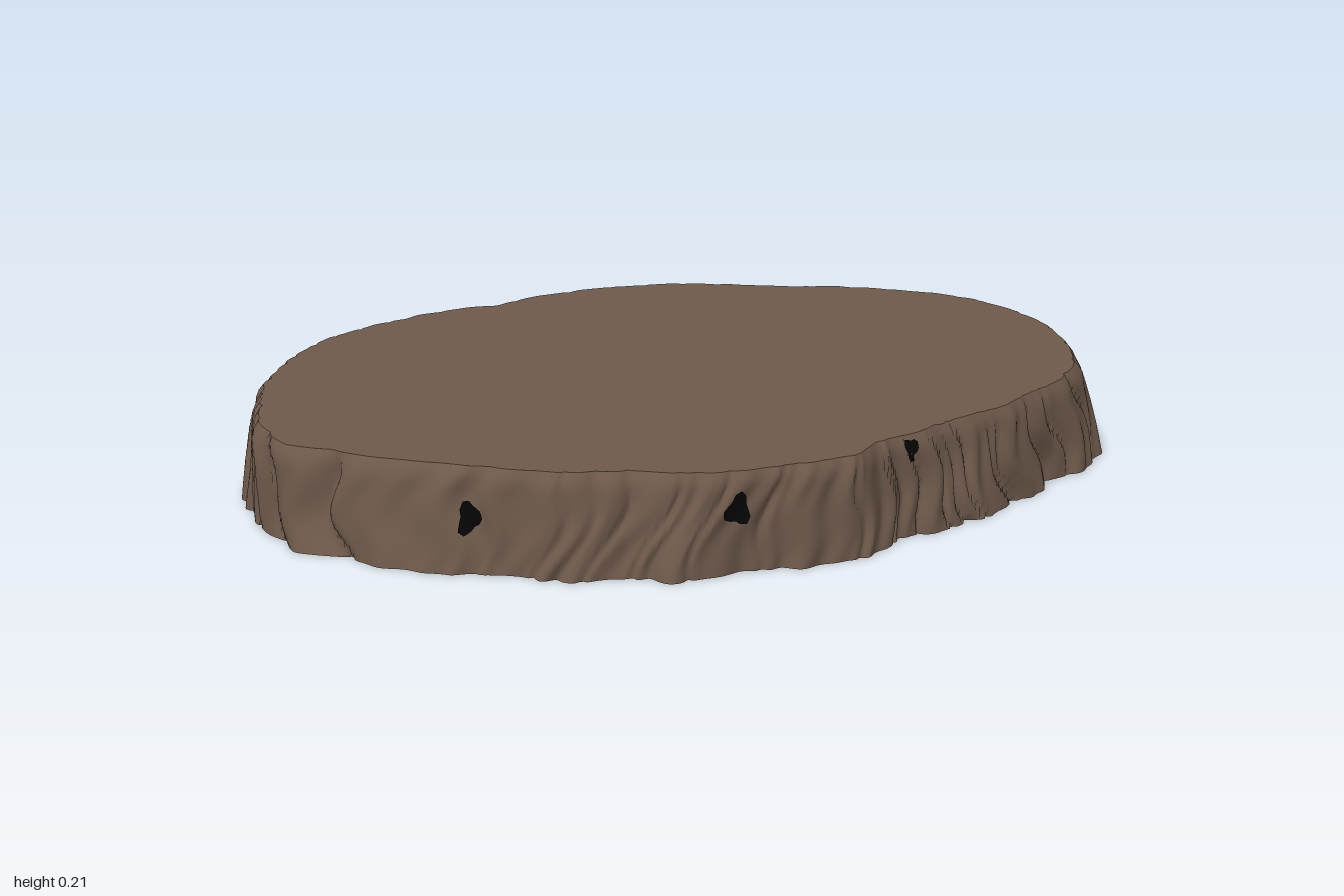
import * as THREE from 'three';

// outlines as x, z pairs, running from +x round by +z
const BASE = [
  0.99, -0.01, 0.97, 0.14, 0.94, 0.31, 0.87, 0.4, 0.8, 0.51, 0.71, 0.6, 0.59, 0.66, 0.48, 0.66, 0.41, 0.7,
  0.3, 0.72, 0.14, 0.75, -0.05, 0.735, -0.16, 0.77, -0.29, 0.745, -0.42, 0.68, -0.56, 0.64, -0.61, 0.57,
  -0.7, 0.52, -0.77, 0.41, -0.88, 0.3, -0.93, 0.19, -0.995, 0.04, -0.98, -0.1, -0.94, -0.24, -0.89, -0.36,
  -0.8, -0.46, -0.69, -0.55, -0.57, -0.65, -0.42, -0.68, -0.26, -0.74, -0.1, -0.755, 0.06, -0.75, 0.19, -0.775,
  0.38, -0.745, 0.54, -0.68, 0.64, -0.62, 0.74, -0.56, 0.79, -0.44, 0.87, -0.41, 0.885, -0.3, 0.94, -0.21,
];
const RIM = [
  0.975, -0.05, 0.95, 0.14, 0.91, 0.24, 0.84, 0.36, 0.79, 0.43, 0.68, 0.54, 0.56, 0.61, 0.43, 0.64, 0.3, 0.68,
  0.14, 0.69, -0.1, 0.71, -0.18, 0.745, -0.32, 0.71, -0.5, 0.63, -0.58, 0.54, -0.69, 0.47, -0.8, 0.32,
  -0.91, 0.14, -0.98, -0.02, -0.95, -0.16, -0.86, -0.32, -0.77, -0.45, -0.64, -0.57, -0.53, -0.65,
  -0.29, -0.72, -0.1, -0.735, 0.03, -0.705, 0.16, -0.72, 0.35, -0.68, 0.54, -0.59, 0.65, -0.49,
  0.74, -0.41, 0.83, -0.35, 0.89, -0.26, 0.95, -0.16,
];
const TAU = Math.PI * 2;
const BOTTOM = 0.012;

// radius of an outline as a function of angle
function radiusFn(pairs) {
  const pts = [];
  for (let i = 0; i < pairs.length; i += 2) {
    const [x, z] = [pairs[i], pairs[i + 1]];
    pts.push({ a: (Math.atan2(z, x) + TAU) % TAU, r: Math.hypot(x, z) });
  }
  pts.sort((p, q) => p.a - q.a);
  const last = pts[pts.length - 1];
  const all = [{ a: last.a - TAU, r: last.r }, ...pts, { a: pts[0].a + TAU, r: pts[0].r }];
  return (angle) => {
    const a = ((angle % TAU) + TAU) % TAU;
    const i = all.findIndex((p) => p.a > a);
    const [p, q] = [all[i - 1], all[i]];
    return THREE.MathUtils.lerp(p.r, q.r, (a - p.a) / (q.a - p.a));
  };
}
const baseRadius = radiusFn(BASE);
const rimRadius = radiusFn(RIM);
const rimHeight = (a) => 0.213 + 0.01 * Math.max(0, -Math.sin(a)) ** 2 + 0.002 * Math.sin(5 * a);

// narrow slanting grooves and soft ridges of the bark
function barkRelief(a, t) {
  const lean = 0.09 * Math.sin(3 * a + 1) * t + 0.02 * Math.sin(6 * t + 7 * a);
  const b = a + lean;
  const groove = Math.max(0, Math.sin(23 * b + 2 * Math.sin(5 * b))) ** 10;
  const crack = Math.max(0, Math.sin(41 * b + 3 * Math.sin(7 * b + 2))) ** 14;
  return 0.005 * Math.sin(31 * b + 2 * Math.sin(4 * b)) + 0.003 * Math.sin(67 * b + 5 * t)
    - 0.014 * groove - 0.012 * crack + 0.002;
}

function barkPoint(a, t, lift = 0) {
  const round = 0.012 * Math.max(0, (t - 0.85) / 0.15) ** 2; // softened rim
  const fade = 1 - 0.6 * Math.max(0, (t - 0.8) / 0.2);
  const r = THREE.MathUtils.lerp(baseRadius(a), rimRadius(a) + 0.012, t)
    + barkRelief(a, t) * fade - round + lift;
  const y = THREE.MathUtils.lerp(BOTTOM, rimHeight(a), t);
  return [Math.cos(a) * r, y, Math.sin(a) * r];
}

// closed strip of rings; point(angle, v) gives each vertex
function ringSurface(cols, rows, point) {
  const pos = [];
  const index = [];
  for (let j = 0; j <= rows; j++) {
    for (let i = 0; i < cols; i++) pos.push(...point((i / cols) * TAU, j / rows));
  }
  for (let j = 0; j < rows; j++) {
    for (let i = 0; i < cols; i++) {
      const n = (i + 1) % cols;
      const [p, q, u, w] = [j * cols + i, j * cols + n, (j + 1) * cols + i, (j + 1) * cols + n];
      index.push(p, u, q, q, u, w);
    }
  }
  return finish(pos, index);
}

function finish(pos, index) {
  const g = new THREE.BufferGeometry();
  g.setAttribute('position', new THREE.Float32BufferAttribute(pos, 3));
  g.setIndex(index);
  g.computeVertexNormals();
  return g;
}

// ragged patch lying just proud of the bark
function knotGeometry(x, z, y, size) {
  const a0 = Math.atan2(z, x);
  const t0 = (y - BOTTOM) / (rimHeight(a0) - BOTTOM);
  const r0 = baseRadius(a0);
  const n = 14;
  const pos = [...barkPoint(a0, t0, 0.006)];
  const index = [];
  for (let ring = 1; ring <= 2; ring++) {
    for (let i = 0; i < n; i++) {
      const f = (i / n) * TAU;
      const s = (size * ring / 2) * (1 + 0.25 * Math.sin(3 * f + x * 9));
      const t = Math.min(0.97, t0 + (Math.sin(f) * s * 1.3) / 0.2);
      pos.push(...barkPoint(a0 + (Math.cos(f) * s) / r0, t, 0.006));
    }
  }
  for (let i = 0; i < n; i++) {
    const [p, q] = [1 + i, 1 + ((i + 1) % n)];
    index.push(0, p, q, p, p + n, q, q, p + n, q + n);
  }
  return finish(pos, index);
}

export function createModel() {
  const group = new THREE.Group();
  group.name = 'woodSlice';

  const brown = new THREE.MeshStandardMaterial({ color: 0x6e594b });
  brown.name = 'woodBrown';
  const black = new THREE.MeshStandardMaterial({ color: 0x050505, side: THREE.DoubleSide });
  black.name = 'black';

  const add = (name, geometry, material) => {
    const mesh = new THREE.Mesh(geometry, material);
    mesh.name = name;
    group.add(mesh);
  };

  // bark wall
  add('bark', ringSurface(720, 14, (a, t) => barkPoint(a, t)), brown);

  // gently uneven cut face, from rim to centre
  add('cutFace', ringSurface(720, 16, (a, v) => {
    const [x, y, z] = barkPoint(a, 1);
    const s = 1 - v;
    const wave = 0.0015 * Math.sin(7 * x * s + 2) * Math.sin(6 * z * s) * v;
    return [x * s, THREE.MathUtils.lerp(0.212, y, s ** 4) + wave, z * s];
  }), brown);

  // flat underside, from centre to edge
  add('underside', ringSurface(720, 1, (a, v) => {
    const [x, y, z] = barkPoint(a, 0);
    return [x * v, y, z * v];
  }), black);

  // small knot holes in the bark
  const knots = [
    [-0.83, 0.36, 0.12, 0.022],
    [-0.43, 0.68, 0.14, 0.024],
    [-0.02, 0.74, 0.19, 0.016],
    [0.89, -0.28, 0.16, 0.016],
  ];
  for (const k of knots) add('knotHole', knotGeometry(...k), black);

  return group;
}
